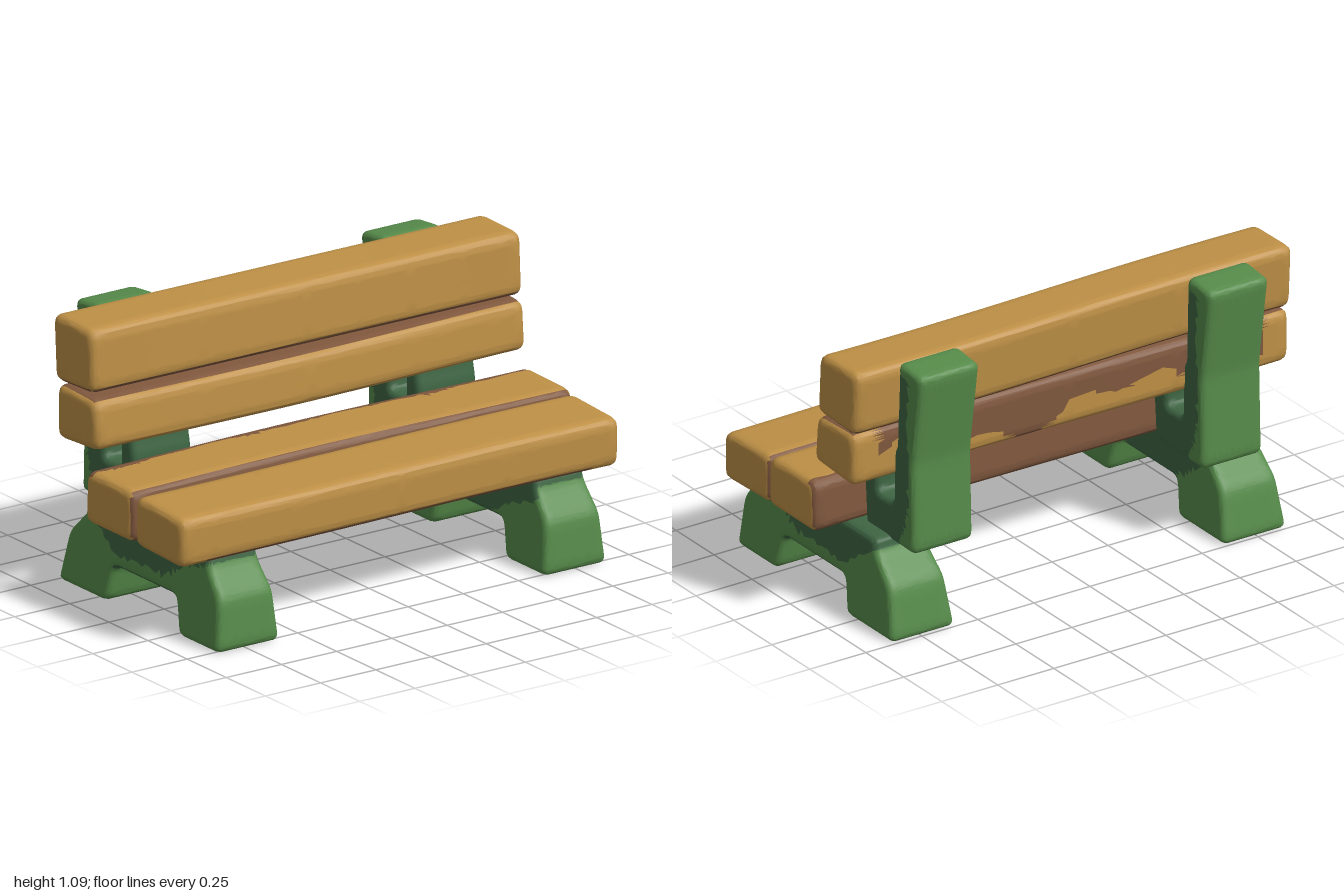
import * as THREE from 'three';
import { toCreasedNormals } from 'three/addons/utils/BufferGeometryUtils.js';

const mat = (name, color) => new THREE.MeshStandardMaterial({ name, color });

// Polygon with every corner rounded by radius r
function roundedPath(points, r, Type = THREE.Shape) {
  const path = new Type();
  const p = points.map(([x, y]) => new THREE.Vector2(x, y));
  p.forEach((c, i) => {
    const prev = p[(i + p.length - 1) % p.length], next = p[(i + 1) % p.length];
    const toward = (q) => c.clone().add(q.clone().sub(c).setLength(Math.min(r, q.distanceTo(c) * 0.4)));
    const a = toward(prev), b = toward(next);
    if (i === 0) path.moveTo(a.x, a.y); else path.lineTo(a.x, a.y);
    path.quadraticCurveTo(c.x, c.y, b.x, b.y);
  });
  path.closePath();
  return path;
}

// Bevelled slab, centred on z = 0, whose full size matches the outline and depth
function slab(points, depth, { r = 0.03, bevel = 0.025, hole } = {}) {
  const shape = roundedPath(points, r);
  if (hole) shape.holes.push(roundedPath(hole, r, THREE.Path));
  const geo = new THREE.ExtrudeGeometry(shape, {
    depth: depth - 2 * bevel, curveSegments: 3, bevelEnabled: true,
    bevelThickness: bevel, bevelSize: bevel, bevelOffset: -bevel, bevelSegments: 3,
  });
  return geo.translate(0, 0, bevel - depth / 2);
}

// Cut the faces small, colour each by a rule (true = second colour), then bend the points
function paint(geo, isSecond, bend, limit = 0.06) {
  const pos = geo.attributes.position, bins = [[], []];
  const tri = new THREE.Triangle(), n = new THREE.Vector3(), c = new THREE.Vector3();
  // Halve the longest edge until every edge is short enough
  const split = (a, b, d) => {
    const ab = a.distanceTo(b), bd = b.distanceTo(d), da = d.distanceTo(a);
    const longest = Math.max(ab, bd, da);
    if (longest > limit) {
      const [p, q, r] = ab === longest ? [a, b, d] : bd === longest ? [b, d, a] : [d, a, b];
      const m = p.clone().add(q).multiplyScalar(0.5);
      split(p, m, r);
      split(m, q, r);
      return;
    }
    c.copy(a).add(b).add(d).divideScalar(3);
    const bin = bins[isSecond(c, n) ? 1 : 0];
    for (const v of [a, b, d]) {
      const w = bend(v.clone());
      bin.push(w.x, w.y, w.z);
    }
  };
  for (let i = 0; i < pos.count; i += 3) {
    tri.setFromAttributeAndIndices(pos, i, i + 1, i + 2);
    if (tri.getArea() < 1e-9) continue;
    tri.getNormal(n);
    split(tri.a.clone(), tri.b.clone(), tri.c.clone());
  }
  let out = new THREE.BufferGeometry();
  out.setAttribute('position', new THREE.Float32BufferAttribute(bins[0].concat(bins[1]), 3));
  out = toCreasedNormals(out, 0.7);
  out.addGroup(0, bins[0].length / 3, 0);
  out.addGroup(bins[0].length / 3, bins[1].length / 3, 1);
  return out;
}

export function createModel() {
  const bench = new THREE.Group();
  bench.name = 'parkBench';
  const wood = [mat('honeyWood', 0xbe9046), mat('brownWood', 0x80583e)];
  const green = [mat('leafGreen', 0x568b4a), mat('deepGreen', 0x3e6543)];

  // Worn, uneven edge used for the paint boundaries
  const worn = (a) => Math.sin(a * 9) * 0.6 + Math.sin(a * 23 + 1) * 0.4;

  const add = (name, geo, materials, z = 0) => {
    const mesh = new THREE.Mesh(geo, materials);
    mesh.name = name;
    mesh.position.z = z;
    bench.add(mesh);
  };

  // Planks running the length of the bench, brown in the gaps and underneath
  const planks = [
    { name: 'upperBackPlank', length: 1.955, seed: 0,
      points: [[-0.4, 1.09], [-0.15, 1.085], [-0.137, 0.84], [-0.385, 0.83]],
      brown: (c, n) => n.y < -0.6 },
    { name: 'lowerBackPlank', length: 1.95, seed: 2,
      points: [[-0.37, 0.825], [-0.125, 0.815], [-0.11, 0.625], [-0.37, 0.61]],
      brown: (c, n) => Math.abs(n.y) > 0.8 ||
        (n.x < -0.6 && Math.abs(c.z) < 0.85 && c.y > 0.68 + 0.08 * worn(c.z * 0.7)) },
    { name: 'rearSeatPlank', length: 2, seed: 4,
      points: [[-0.155, 0.555], [0.14, 0.55], [0.145, 0.35], [-0.165, 0.35]],
      brown: (c, n) => Math.abs(n.x) > 0.6 || (n.y < -0.6 && Math.abs(c.z) < 0.93) ||
        (n.y > 0.5 && c.x < -0.11 + 0.012 * worn(c.z)) },
    { name: 'frontSeatPlank', length: 1.985, seed: 1,
      points: [[0.155, 0.54], [0.46, 0.525], [0.457, 0.335], [0.152, 0.345]],
      brown: (c, n) => n.x < -0.6 || (n.y < -0.6 && Math.abs(c.z) < 0.9 + 0.03 * worn(c.x)) },
  ];
  for (const { name, length, seed, points, brown } of planks) {
    const bend = (v) => {
      v.x += 0.005 * Math.sin(v.z * 3.1 + seed);
      v.y += 0.004 * Math.sin(v.z * 2.3 + seed * 2);
      return v;
    };
    add(name, paint(slab(points, length, { r: 0.04, bevel: 0.03 }), brown, bend), wood);
  }

  // Arched feet: two splayed legs joined under the seat, thinner towards the top
  const foot = [
    [-0.5, 0], [-0.19, 0], [-0.16, 0.145], [0.235, 0.145], [0.27, 0], [0.53, 0],
    [0.512, 0.2], [0.43, 0.305], [0.42, 0.355], [-0.34, 0.355], [-0.345, 0.31], [-0.455, 0.2],
  ];
  // Back post with a bracket that holds the seat, pierced by a slot
  const post = [
    [-0.49, 0.33], [-0.17, 0.335], [-0.155, 0.55], [-0.17, 0.61], [-0.18, 0.71],
    [-0.37, 0.72], [-0.38, 1.085], [-0.535, 1.07], [-0.48, 0.7],
  ];
  const slot = [[-0.35, 0.495], [-0.243, 0.495], [-0.243, 0.65], [-0.35, 0.65]];

  for (const side of [1, -1]) {
    const label = side > 0 ? 'left' : 'right';
    const footDark = (c, n) => {
      const edge = 0.2 + Math.max(0, -0.15 - c.x) * 0.6 + Math.max(0, c.x - 0.15) * 0.45;
      const inner = n.z * side < -0.5 ? 0.05 : 0;
      return c.y > edge - inner + 0.01 * worn(c.x) || (n.y < -0.5 && c.y > 0.1);
    };
    const taper = (v) => {
      v.z *= 1 - 0.22 * v.y / 0.34;
      return v;
    };
    add(label + 'Foot', paint(slab(foot, 0.285), footDark, taper, 0.04), green, side * 0.74);

    const postDark = (c) =>
      c.y < 1.04 && c.x > -0.45 + 0.3 * Math.max(0, 0.52 - c.y) + 0.01 * worn(c.y);
    add(label + 'BackPost', paint(slab(post, 0.27, { hole: slot }), postDark, (v) => v, 0.04),
      green, side * 0.645);
  }
  return bench;
}
